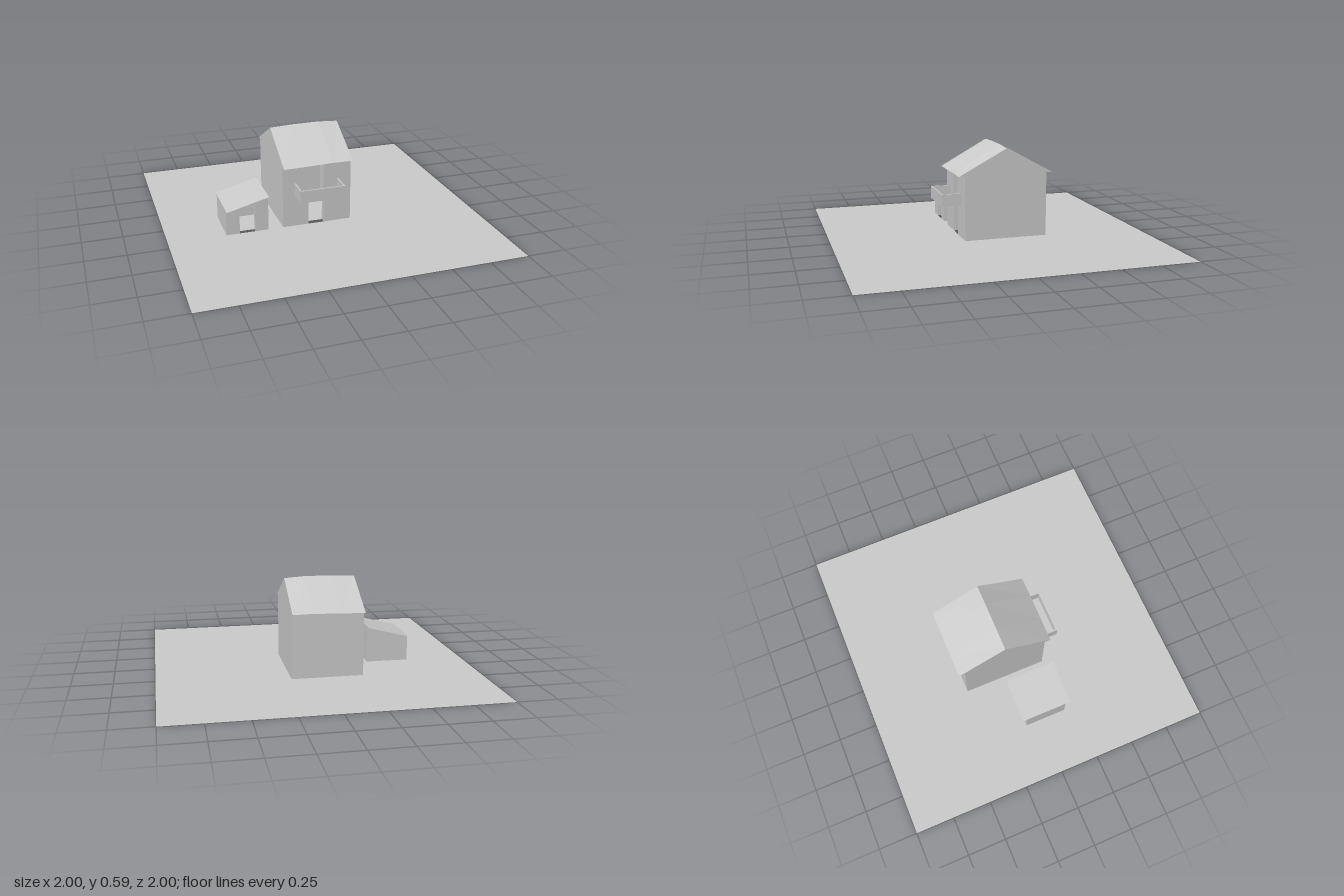
import * as THREE from 'three';
import { mergeGeometries } from 'three/addons/utils/BufferGeometryUtils.js';

const plaster = new THREE.MeshStandardMaterial({ color: 0xcccccc, side: THREE.DoubleSide });
plaster.name = 'plain grey';

function part(name, geometry) {
  const mesh = new THREE.Mesh(geometry, plaster);
  mesh.name = name;
  return mesh;
}

// Flat four-cornered sheet
function quad(a, b, c, d) {
  const geo = new THREE.BufferGeometry();
  geo.setAttribute('position', new THREE.Float32BufferAttribute([a, b, c, a, c, d].flat(), 3));
  geo.computeVertexNormals();
  return geo;
}

const outline = (pts) => pts.map(([x, y]) => new THREE.Vector2(x, y));
const rect = (x0, x1, y0, y1) => outline([[x0, y0], [x1, y0], [x1, y1], [x0, y1]]);

// Hollow walls without a base: an outer and an inner skin joined by door linings
function makeWalls(name, { x0, x1, z0, z1, t, top, door, window }) {
  const faces = [];
  for (const inset of [0, t]) {
    const a = x0 + inset, b = x1 - inset, back = z0 + inset, front = z1 - inset;
    const shape = new THREE.Shape(outline([
      [a, 0], [door.x0, 0], [door.x0, door.h], [door.x1, door.h], [door.x1, 0],
      [b, 0], [b, top(b)], [a, top(a)],
    ]));
    if (window) shape.holes.push(new THREE.Path(rect(...window)));
    const frontSkin = new THREE.ShapeGeometry(shape).toNonIndexed().translate(0, 0, front);
    frontSkin.deleteAttribute('uv');
    faces.push(frontSkin);
    faces.push(quad([b, 0, back], [a, 0, back], [a, top(a), back], [b, top(b), back]));
    faces.push(quad([a, 0, back], [a, 0, front], [a, top(a), front], [a, top(a), back]));
    faces.push(quad([b, 0, front], [b, 0, back], [b, top(b), back], [b, top(b), front]));
  }
  // Linings of the openings
  const zi = z1 - t;
  const jamb = (x, y0, y1) => faces.push(quad([x, y0, z1], [x, y0, zi], [x, y1, zi], [x, y1, z1]));
  const ledge = (a, b, y) => faces.push(quad([a, y, z1], [a, y, zi], [b, y, zi], [b, y, z1]));
  jamb(door.x0, 0, door.h);
  jamb(door.x1, 0, door.h);
  ledge(door.x0, door.x1, door.h);
  if (window) {
    const [a, b, y0, y1] = window;
    jamb(a, y0, y1);
    jamb(b, y0, y1);
    ledge(a, b, y0);
    ledge(a, b, y1);
  }
  return part(name, mergeGeometries(faces));
}

export function createModel() {
  const model = new THREE.Group();
  model.name = 'houseWithShed';

  const house = {
    x0: -0.27, x1: 0.18, z0: -0.36, z1: 0.18, t: 0.036, top: () => 0.41,
    door: { x0: -0.1, x1: 0, h: 0.195 }, window: [-0.1, 0, 0.215, 0.395],
  };
  const shedTop = (x) => 0.165 + (x + 0.635) * 0.26;
  const shed = {
    x0: -0.635, x1: -0.365, z0: -0.09, z1: 0.18, t: 0.03, top: shedTop,
    door: { x0: -0.55, x1: -0.45, h: 0.185 },
  };

  // Ground, cut away beneath the walls
  const ground = new THREE.Shape(rect(-1, 1, -1, 1));
  const floors = [];
  for (const { x0, x1, z0, z1, t } of [house, shed]) {
    ground.holes.push(new THREE.Path(rect(x0, x1, -z1, -z0)));
    floors.push(new THREE.Shape(rect(x0 + t, x1 - t, -z1 + t, -z0 - t)));
  }
  model.add(part('ground', new THREE.ShapeGeometry(ground).rotateX(-Math.PI / 2)));
  floors.forEach((shape, i) =>
    model.add(part(['houseFloor', 'shedFloor'][i], new THREE.ShapeGeometry(shape).rotateX(-Math.PI / 2))));

  model.add(makeWalls('houseWalls', house), makeWalls('shedWalls', shed));

  // Gabled roof, slightly uneven along its length: x, eave height, ridge height
  const stations = [[-0.27, 0.407, 0.578], [-0.12, 0.41, 0.585], [0.05, 0.415, 0.586], [0.18, 0.413, 0.578]];
  const rings = stations.map(([x, eave, ridge]) => [[x, eave, 0.22], [x, ridge, -0.09], [x, eave, -0.4]]);
  const roof = [];
  for (let i = 0; i < rings.length - 1; i++) {
    for (let k = 0; k < 3; k++) {
      const n = (k + 1) % 3;
      roof.push(quad(rings[i][k], rings[i + 1][k], rings[i + 1][n], rings[i][n]));
    }
  }
  const [l, r] = [rings[0], rings[rings.length - 1]];
  roof.push(quad(l[0], l[1], l[2], l[2]), quad(r[2], r[1], r[0], r[0]));
  model.add(part('houseRoof', mergeGeometries(roof)));

  // Lean-to roof of the shed
  model.add(part('shedRoof', quad(
    [-0.635, shedTop(-0.635), 0.21], [-0.365, shedTop(-0.365), 0.21],
    [-0.365, shedTop(-0.365), -0.12], [-0.635, shedTop(-0.635), -0.12])));

  // Balcony: slab and three parapet panels
  const balcony = new THREE.Group();
  balcony.name = 'balcony';
  const panel = (name, w, h, d, x, y, z) =>
    balcony.add(part(name, new THREE.BoxGeometry(w, h, d).translate(x, y, z)));
  panel('balconyFloor', 0.27, 0.008, 0.12, -0.047, 0.214, 0.24);
  panel('frontParapet', 0.29, 0.08, 0.009, -0.047, 0.25, 0.3055);
  for (const side of [-1, 1]) {
    panel(side < 0 ? 'rightParapet' : 'leftParapet', 0.009, 0.08, 0.121, -0.047 + side * 0.1405, 0.25, 0.2405);
  }
  model.add(balcony);

  return model;
}
